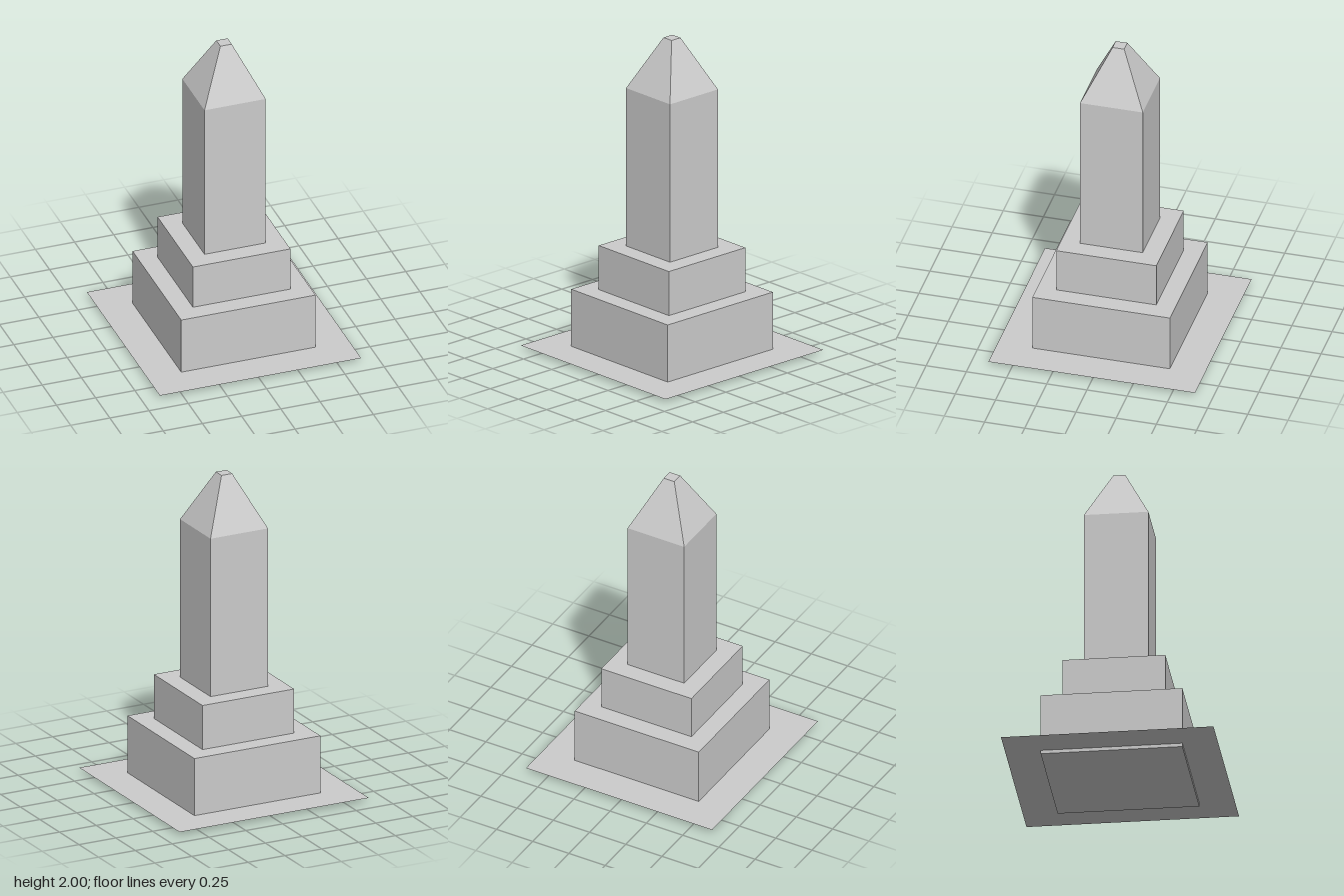
import * as THREE from 'three';

export function createModel() {
  const group = new THREE.Group();
  const material = new THREE.MeshStandardMaterial({ color: 0xcccccc, flatShading: true });

  const add = (name, geometry, y, mat = material) => {
    const mesh = new THREE.Mesh(geometry, mat);
    mesh.name = name;
    mesh.position.y = y;
    group.add(mesh);
  };

  // Square block between two heights
  const block = (name, half, bottom, top) =>
    add(name, new THREE.BoxGeometry(half * 2, top - bottom, half * 2), (bottom + top) / 2);

  // Thin ground sheet around the foot of the plinth
  const sheet = material.clone();
  sheet.side = THREE.DoubleSide;
  add('groundSheet', new THREE.PlaneGeometry(1.284, 1.284).rotateX(-Math.PI / 2), 0.022, sheet);

  // Stepped plinth and shaft
  block('lowerPlinth', 0.428, 0, 0.386);
  block('upperPlinth', 0.311, 0.386, 0.667);
  block('shaft', 0.195, 0.667, 1.674);

  // Four-sided cap with a small flat top
  const cap = new THREE.CylinderGeometry(0.036 * Math.SQRT2, 0.195 * Math.SQRT2, 0.326, 4);
  add('cap', cap.rotateY(Math.PI / 4), 1.837);

  return group;
}
